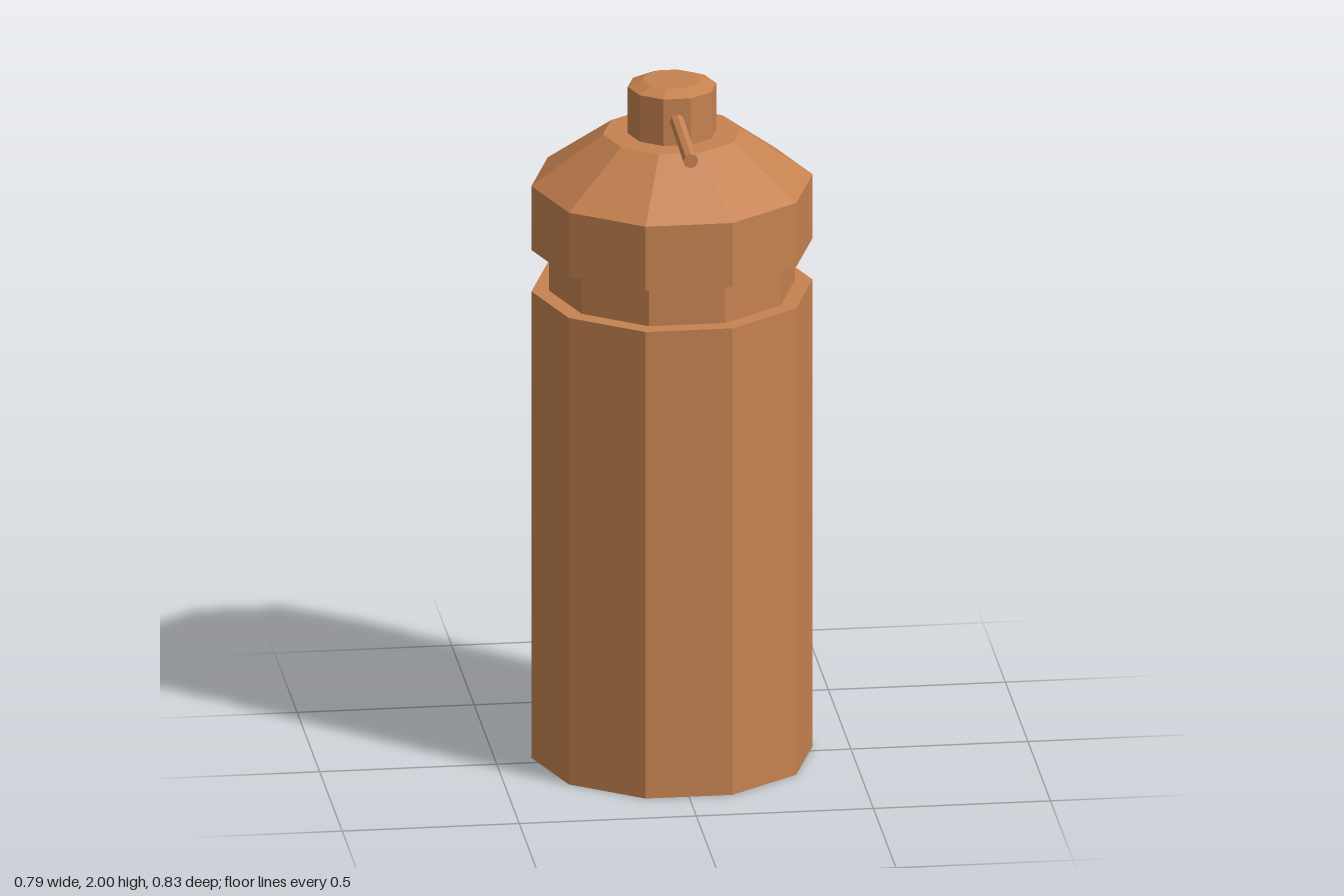
import * as THREE from 'three';

export function createModel() {
  const model = new THREE.Group();
  model.name = 'sprayBottle';
  const copper = new THREE.MeshStandardMaterial({ color: 0xc68250, flatShading: true });
  copper.name = 'copper';

  // Ten-sided ring section between two heights, with a corner on +x
  const section = (name, y0, y1, r0, r1 = r0) => {
    const geometry = new THREE.CylinderGeometry(r1, r0, y1 - y0, 10, 1, false, Math.PI / 2);
    const mesh = new THREE.Mesh(geometry, copper);
    mesh.name = name;
    mesh.position.set(0, (y0 + y1) / 2, -0.04);
    model.add(mesh);
  };

  section('body', 0, 1.387, 0.397);
  section('groove', 1.387, 1.51, 0.347);
  section('collar', 1.51, 1.7, 0.397);
  section('shoulder', 1.7, 1.845, 0.397, 0.195);
  section('cap', 1.845, 1.983, 0.125);
  section('capBevel', 1.983, 2, 0.125, 0.083);

  // Thin straw pointing forward out of the cap, leaning very slightly sideways
  const start = new THREE.Vector3(0, 1.917, 0.03);
  const end = new THREE.Vector3(-0.005, 1.917, 0.415);
  const straw = new THREE.Mesh(
    new THREE.CylinderGeometry(0.021, 0.021, start.distanceTo(end), 8), copper);
  straw.name = 'straw';
  straw.position.copy(start).lerp(end, 0.5);
  straw.quaternion.setFromUnitVectors(new THREE.Vector3(0, 1, 0), end.clone().sub(start).normalize());
  model.add(straw);

  return model;
}
